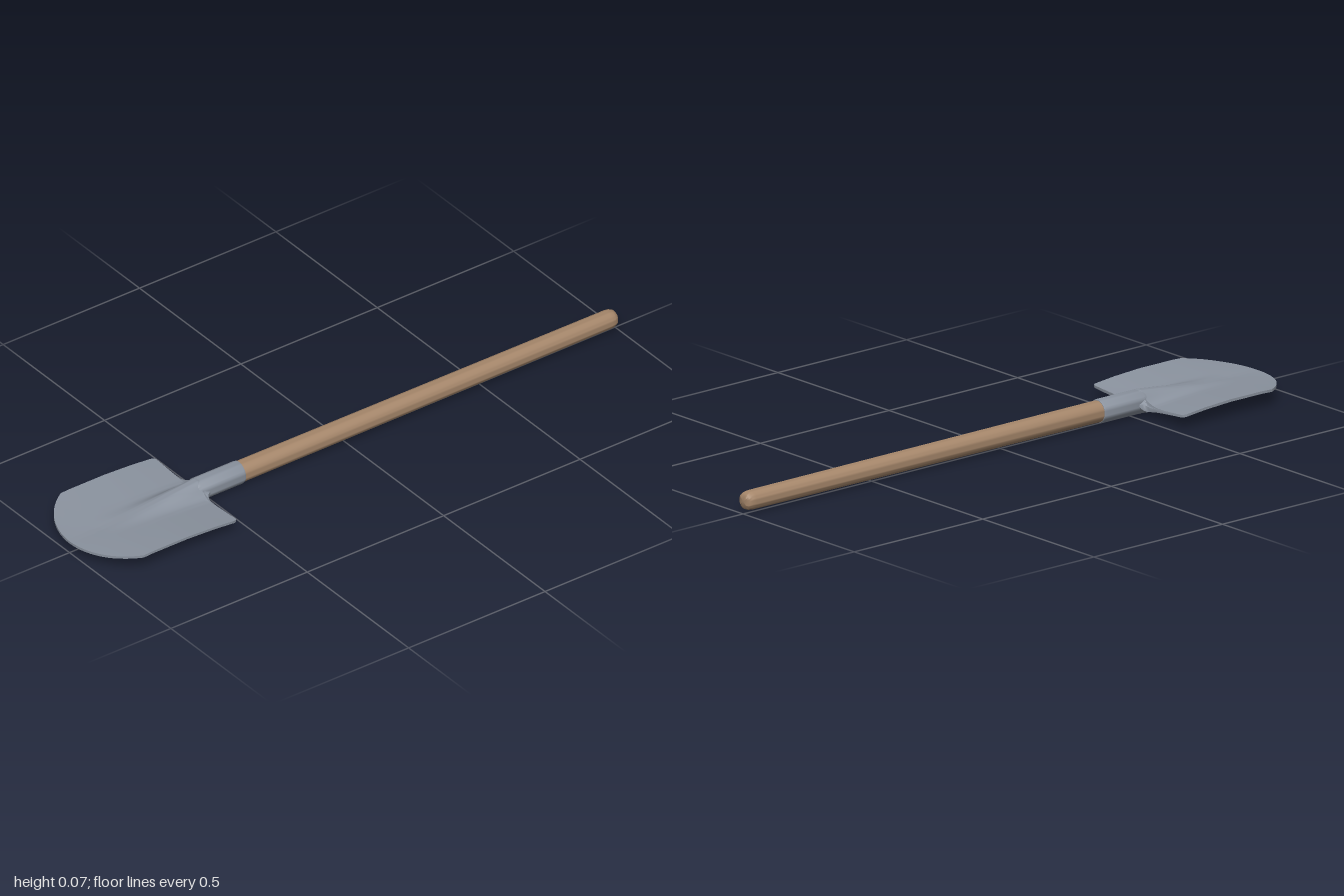
import * as THREE from 'three';
import { mergeVertices, toCreasedNormals } from 'three/addons/utils/BufferGeometryUtils.js';

const AXIS_Y = 0.038; // height of the handle's centre line

// Smooth interpolation through [z, value] pairs
function ramp(points) {
  return (z) => {
    if (z <= points[0][0]) return points[0][1];
    for (let i = 1; i < points.length; i++) {
      const [z0, a] = points[i - 1], [z1, b] = points[i];
      if (z <= z1) return a + (b - a) * (z - z0) / (z1 - z0);
    }
    return points[points.length - 1][1];
  };
}

// Turned part lying along z, from [radius, z] pairs
function turned(name, profile, material) {
  const pts = profile.map(([r, z]) => new THREE.Vector2(r, z));
  const geo = new THREE.LatheGeometry(pts, 32);
  geo.rotateX(Math.PI / 2);
  const mesh = new THREE.Mesh(toCreasedNormals(geo, 0.7), material);
  mesh.name = name;
  mesh.position.y = AXIS_Y;
  return mesh;
}

// Dished sheet with a raised spine that fades towards the tip
function bladeGeometry() {
  const edge = ramp([[0.535, 0.037], [0.62, 0.045], [0.72, 0.05], [0.85, 0.05], [0.93, 0.046], [1, 0.04]]);
  const middle = ramp([[0.535, 0.022], [0.62, 0.028], [0.72, 0.033], [0.85, 0.036], [1, 0.036]]);
  const hump = ramp([[0.535, 0.048], [0.6, 0.036], [0.7, 0.018], [0.78, 0.007], [0.88, 0]]);
  const keel = ramp([[0.535, 0.018], [0.6, 0.015], [0.7, 0.008], [0.78, 0.003], [0.88, 0]]);

  // Stations [z, half width]: neck fillet, square shoulders, straight sides, round tip
  const stations = [[0.5, 0.03], [0.505, 0.033], [0.513, 0.037], [0.521, 0.042], [0.528, 0.05],
    [0.532, 0.062], [0.535, 0.085], [0.536, 0.195], [0.54, 0.202], [0.547, 0.205]];
  for (let z = 0.57; z < 0.87; z += 0.025) stations.push([z, 0.205]);
  const R = 0.235, start = Math.asin(0.205 / R);
  for (let i = 0; i <= 18; i++) {
    const a = start * (1 - i / 18);
    stations.push([1 - R + R * Math.cos(a), R * Math.sin(a)]);
  }

  const N = 48, ring = 2 * (N + 1), pos = [], index = [];
  for (const [z, w] of stations) {
    const grow = THREE.MathUtils.smoothstep(z, 0.5, 0.533);
    for (let k = 0; k < ring; k++) {
      const top = k <= N;
      const u = (top ? k : ring - 1 - k) / N * 2 - 1;
      const x = w * Math.sign(u) * Math.pow(Math.abs(u), 1.4);
      const ax = Math.abs(x);
      const base = middle(z) + (edge(z) - middle(z)) * ax / 0.205;
      const y = top
        ? base + 0.004 + hump(z) * Math.exp(-Math.pow(ax / 0.036, 2.6))
        : base - 0.004 - keel(z) * Math.exp(-Math.pow(ax / 0.045, 1.6));
      pos.push(x, AXIS_Y + (y - AXIS_Y) * grow, z);
    }
  }
  for (let j = 0; j < stations.length - 1; j++) {
    for (let k = 0; k < ring; k++) {
      const a = j * ring + k, b = j * ring + (k + 1) % ring;
      index.push(a, a + ring, b, b, a + ring, b + ring);
    }
  }
  const geo = new THREE.BufferGeometry();
  geo.setAttribute('position', new THREE.Float32BufferAttribute(pos, 3));
  geo.setIndex(index);
  return toCreasedNormals(mergeVertices(geo), 0.8);
}

export function createModel() {
  const wood = new THREE.MeshStandardMaterial({ color: 0xa5866a });
  wood.name = 'wood';
  const steel = new THREE.MeshStandardMaterial({ color: 0x8a929e });
  steel.name = 'steel';

  const group = new THREE.Group();
  group.name = 'shovel';

  // Slightly tapered shaft with a rounded end
  group.add(turned('handle', [[0, -1], [0.017, -0.999], [0.024, -0.994], [0.028, -0.984],
    [0.0295, -0.97], [0.033, 0.39]], wood));

  // Steel socket; its front end is buried in the blade's spine
  group.add(turned('socket', [[0.03, 0.378], [0.0345, 0.378], [0.036, 0.384], [0.036, 0.535],
    [0.031, 0.555], [0.02, 0.58], [0, 0.59]], steel));

  const blade = new THREE.Mesh(bladeGeometry(), steel);
  blade.name = 'blade';
  group.add(blade);
  return group;
}
